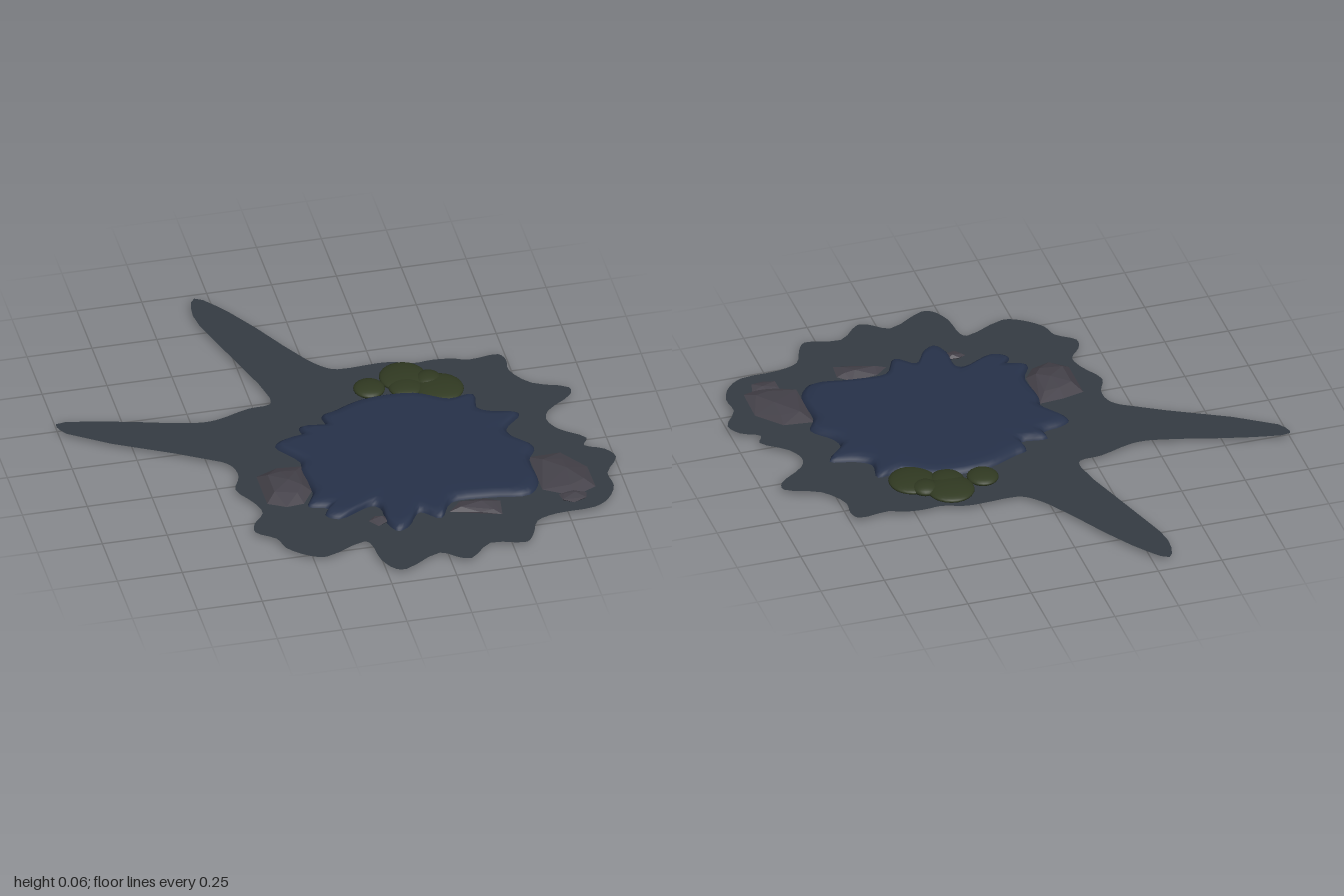
import * as THREE from 'three';
import { ConvexGeometry } from 'three/addons/geometries/ConvexGeometry.js';

// Outlines are x, z pairs
const GROUND = [
  -.31, -.95, -.2, -.83, .01, -.47, .07, -.4, .11, -.38, .27, -.385, .32, -.38, .4, -.355, .47, -.36, .55, -.35,
  .6, -.33, .72, -.34, .74, -.3, .735, -.23, .8, -.13, .93, -.07, .925, -.025, .82, .06, .8, .115, .83, .185,
  .92, .265, .9, .31, .97, .35, 1, .41, .945, .505, .95, .59, .91, .67, .85, .71, .7, .72, .62, .75,
  .585, .83, .55, .875, .415, .85, .325, .93, .285, .92, .215, .87, .07, .945, .03, .935, -.01, .865, -.025, .755,
  -.045, .735, -.205, .8, -.265, .78, -.34, .71, -.36, .645, -.43, .585, -.42, .53, -.375, .47, -.39, .4, -.44, .3,
  -.41, .22, -.415, .155, -.45, .11, -.975, -.2, -1, -.27, -.835, -.25, -.49, -.16, -.41, -.16, -.275, -.205,
  -.19, -.215, -.18, -.26, -.28, -.61, -.34, -.84,
];
const WATER = [
  -.02, -.03, -.02, -.09, .03, -.11, .15, -.16, .35, -.16, .48, -.09, .57, -.1, .565, -.01, .62, .03, .71, .06,
  .64, .145, .65, .2, .715, .285, .68, .36, .68, .51, .63, .58, .48, .565, .33, .565, .27, .655, .2, .6,
  .14, .68, .095, .7, .065, .645, .06, .54, .03, .52, -.105, .575, -.15, .54, -.13, .5, -.2, .47, -.165, .39,
  -.175, .24, -.165, .18, -.235, .06, -.195, .03, -.12, .01, -.12, -.035,
];
const GROUND_Y = 0.02;
const CENTRE = new THREE.Vector2(0.25, 0.25);

const pairs = (a) => Array.from({ length: a.length / 2 }, (_, i) => new THREE.Vector2(a[2 * i], a[2 * i + 1]));

// Closed smooth curve through the outline
function smooth(points, steps) {
  const curve = new THREE.CatmullRomCurve3(points.map((p) => new THREE.Vector3(p.x, 0, p.y)), true, 'centripetal');
  const out = [];
  for (let i = 0; i < points.length * steps; i++) {
    const p = curve.getPoint(i / (points.length * steps));
    out.push(new THREE.Vector2(p.x, p.z));
  }
  return out;
}

const scaled = (points, c, s) => points.map((p) => p.clone().sub(c).multiplyScalar(s).add(c));

function add(group, name, geometry, color, options = {}) {
  const mesh = new THREE.Mesh(geometry, new THREE.MeshStandardMaterial({ color, ...options }));
  mesh.name = name;
  group.add(mesh);
  return mesh;
}

// Flat sheet with an opening under the water
function groundGeometry(outline, opening) {
  const flip = (pts) => pts.map((p) => new THREE.Vector2(p.x, -p.y));
  const shape = new THREE.Shape(flip(outline));
  shape.holes.push(new THREE.Path(flip(opening)));
  return new THREE.ShapeGeometry(shape).rotateX(-Math.PI / 2).translate(0, GROUND_Y, 0);
}

// Rings that roll up from the shore to a flat surface
function waterGeometry(outline) {
  const rings = [[1, .017], [.985, .03], [.95, .04], [.88, .043], [.6, .043], [0, .043]];
  const n = outline.length, position = [], index = [];
  for (const [s, y] of rings) for (const p of scaled(outline, CENTRE, s)) position.push(p.x, y, p.y);
  for (let r = 0; r < rings.length - 1; r++) {
    for (let i = 0; i < n; i++) {
      const a = r * n + i, b = r * n + (i + 1) % n;
      index.push(a, a + n, b);
      if (r < rings.length - 2) index.push(b, a + n, b + n);
    }
  }
  const g = new THREE.BufferGeometry();
  g.setAttribute('position', new THREE.Float32BufferAttribute(position, 3));
  g.setIndex(index);
  g.computeVertexNormals();
  return g;
}

// Faceted stone: widest at the ground, tapering to an off-centre peak
function rockGeometry(outline, peak, bottom) {
  const pts = pairs(outline);
  const c = pts.reduce((s, p) => s.add(p), new THREE.Vector2()).divideScalar(pts.length);
  const hull = [new THREE.Vector3(c.x + .01, peak, c.y - .01)];
  pts.forEach((p, i) => hull.push(new THREE.Vector3(p.x, .02 + .006 * (i % 2), p.y)));
  scaled(pts, c, .62).forEach((p, i) => {
    hull.push(new THREE.Vector3(p.x, peak - .006 - .005 * (i % 3), p.y));
    hull.push(new THREE.Vector3(p.x, bottom + .003 * (i % 2), p.y));
  });
  return new ConvexGeometry(hull);
}

export function createModel() {
  const model = new THREE.Group();
  model.name = 'pond';

  const shore = smooth(pairs(WATER), 4);
  add(model, 'ground', groundGeometry(smooth(pairs(GROUND), 3), scaled(shore, CENTRE, .97)), 0x353c43,
    { side: THREE.DoubleSide });
  add(model, 'water', waterGeometry(shore), 0x27324a, { side: THREE.DoubleSide });

  // Stones around the shore: outline, peak height, lowest height
  const rocks = new THREE.Group();
  rocks.name = 'rocks';
  const stones = [
    [[-.345, .235, -.26, .205, -.165, .205, -.165, .38, -.21, .445, -.28, .46, -.345, .415], .056, .01],
    [[.68, .34, .8, .345, .88, .45, .88, .59, .79, .625, .68, .565], .048, .003],
    [[.735, .6, .79, .59, .84, .61, .83, .65, .78, .665, .74, .645], .033, 0],
    [[.31, .62, .36, .57, .46, .565, .51, .6, .5, .68, .42, .655], .042, .012],
    [[0, .61, .03, .59, .08, .6, .07, .635, .03, .65], .034, .01],
  ];
  for (const [outline, peak, bottom] of stones) {
    add(rocks, 'rock', rockGeometry(outline, peak, bottom), 0x45424a, { flatShading: true });
  }
  model.add(rocks);

  // Flattened moss clumps: x, z, radius, centre height, half height
  const moss = new THREE.Group();
  moss.name = 'moss';
  const clumps = [
    [.195, -.22, .06, .029, .019], [.335, -.265, .09, .028, .021], [.425, -.23, .05, .03, .022],
    [.455, -.165, .09, .027, .02], [.33, -.2, .065, .028, .02],
  ];
  for (const [x, z, r, y, h] of clumps) {
    const clump = add(moss, 'mossClump', new THREE.SphereGeometry(1, 24, 14), 0x313a22);
    clump.scale.set(r, h, r * 1.03);
    clump.position.set(x, y, z);
  }
  model.add(moss);

  return model;
}
